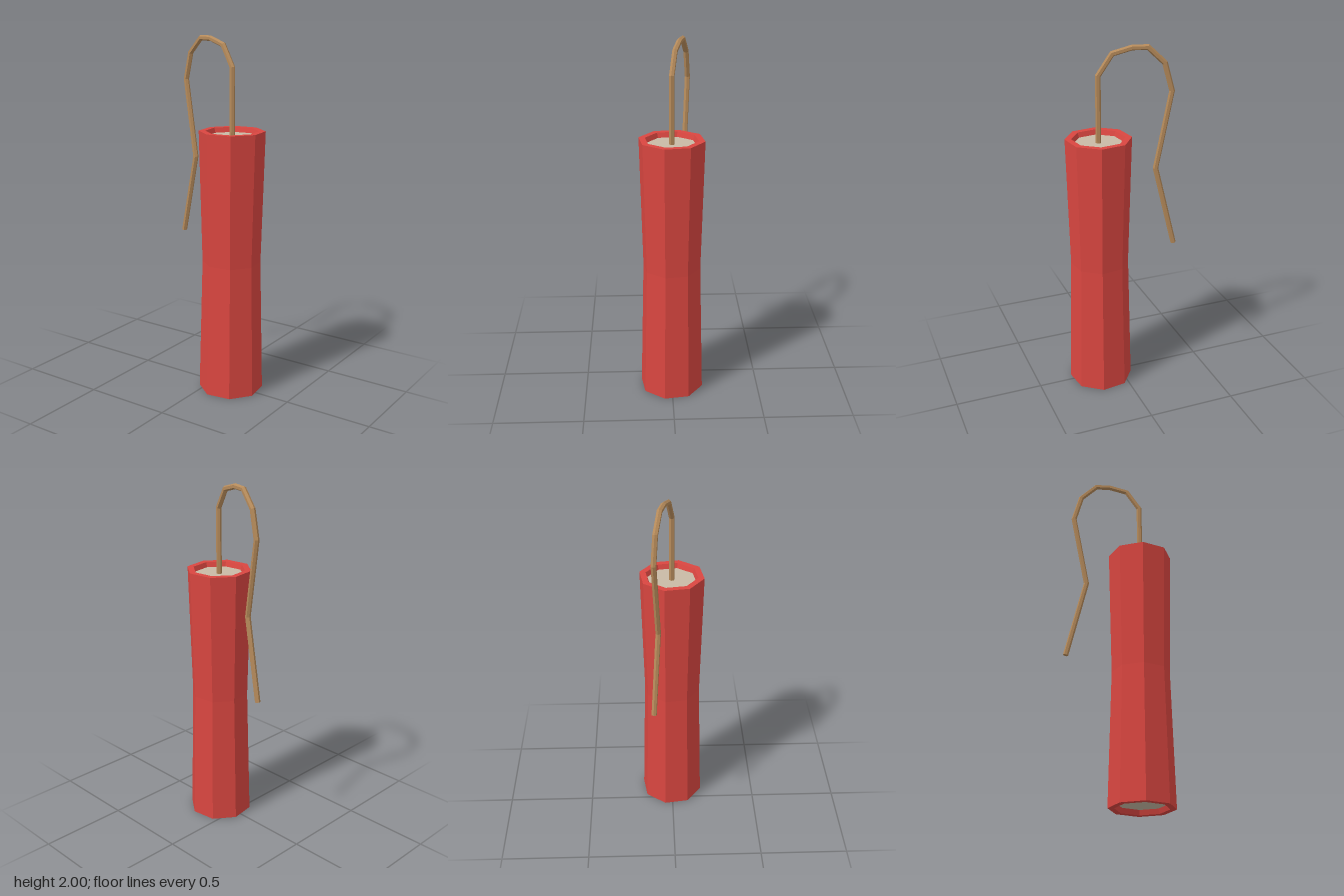
import * as THREE from 'three';

const SIDES = 8;
const CENTER_X = 0.12;
const TURN = THREE.MathUtils.degToRad(30.7); // twist of the octagon

function material(name, color) {
  const m = new THREE.MeshStandardMaterial({ color, flatShading: true });
  m.name = name;
  return m;
}

function lathe(name, profile, mat) {
  const points = profile.map(([r, y]) => new THREE.Vector2(r, y));
  const mesh = new THREE.Mesh(new THREE.LatheGeometry(points, SIDES, TURN), mat);
  mesh.name = name;
  mesh.position.x = CENTER_X;
  return mesh;
}

// Mitred prism swept along a flat path of [x, y] points, closed at both ends
function sweep(path, radius, sides) {
  const pts = path.map(([x, y]) => new THREE.Vector2(x, y));
  const last = pts.length - 1;
  const position = [], index = [];
  pts.forEach((p, i) => {
    const a = pts[Math.max(i, 1)].clone().sub(pts[Math.max(i, 1) - 1]).normalize();
    const b = pts[Math.min(i + 1, last)].clone().sub(pts[Math.min(i, last - 1)]).normalize();
    const t = a.clone().add(b).normalize();
    const miter = radius / t.dot(a);
    for (let j = 0; j < sides; j++) {
      const angle = (j / sides) * Math.PI * 2;
      const n = Math.cos(angle) * miter;
      position.push(p.x - t.y * n, p.y + t.x * n, Math.sin(angle) * radius);
    }
  });
  for (let i = 0; i < last; i++) {
    for (let j = 0; j < sides; j++) {
      const k = (j + 1) % sides;
      const a = i * sides + j, b = i * sides + k;
      index.push(a, b, b + sides, a, b + sides, a + sides);
    }
  }
  for (let j = 1; j < sides - 1; j++) {
    index.push(0, j + 1, j);
    index.push(last * sides, last * sides + j, last * sides + j + 1);
  }
  const g = new THREE.BufferGeometry();
  g.setAttribute('position', new THREE.Float32BufferAttribute(position, 3));
  g.setIndex(index);
  g.computeVertexNormals();
  return g;
}

export function createModel() {
  const model = new THREE.Group();
  model.name = 'fusedStick';
  const red = material('red paper', 0xd94640);
  const tan = material('tan filling', 0xc8baa5);
  const brown = material('brown cord', 0xb58a5a);

  // Waisted casing with recessed ends
  model.add(lathe('casing', [
    [0.137, 0.027], [0.147, 0], [0.182, 0], [0.163, 0.76],
    [0.182, 1.5], [0.147, 1.5], [0.137, 1.473],
  ], red));

  // Filling visible at both ends
  model.add(lathe('topFilling', [[0.137, 1.473], [0, 1.473]], tan));
  model.add(lathe('bottomFilling', [[0, 0.027], [0.137, 0.027]], tan));

  // Drooping fuse, bent in one vertical plane
  const fuse = new THREE.Mesh(sweep([
    [0, 1.465], [0, 1.84], [-0.075, 1.955], [-0.18, 1.985], [-0.262, 1.985],
    [-0.352, 1.9], [-0.393, 1.75], [-0.312, 1.315], [-0.421, 0.858],
  ], 0.015, 6), brown);
  fuse.name = 'fuse';
  fuse.position.x = CENTER_X;
  fuse.rotation.y = THREE.MathUtils.degToRad(-15);
  model.add(fuse);

  return model;
}
